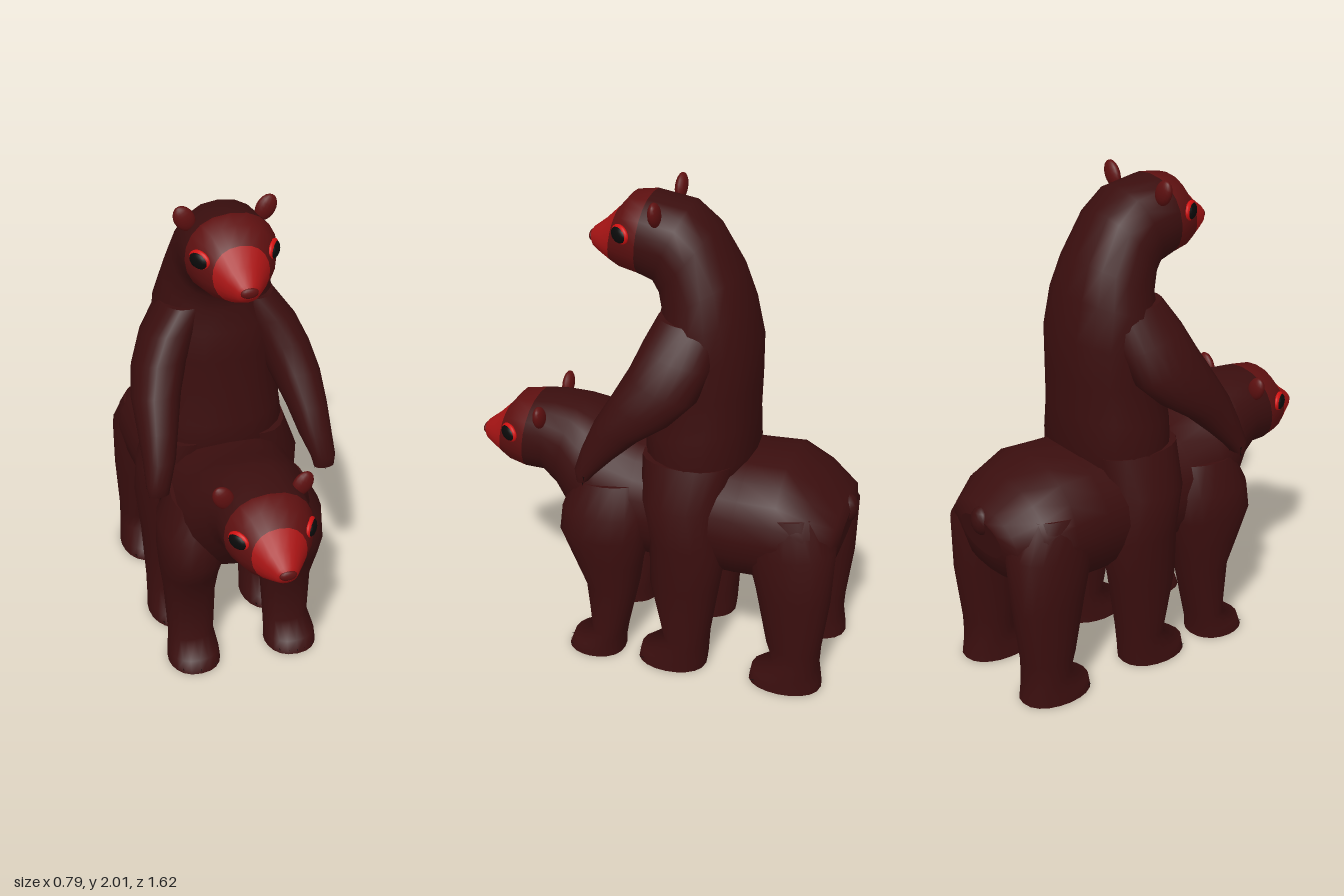
import * as THREE from 'three';

const mat = (color, rough = 0.9) => new THREE.MeshStandardMaterial({ color });
const FUR = mat(0x3a0e0e), FACE = mat(0x5e1010), MUZZLE = mat(0xa81414);
const EYE = mat(0x0a0a0a), RIM = mat(0xd01010), CLAW = mat(0x1c0808);
const SIDES = 20;

// Loft through oval sections [zTop, yTop, zBottom, yBottom, xCentre, halfWidth], closed at both ends.
function loft(sections, side = 1) {
  const pos = [], idx = [];
  const ring = ([z1, y1, z2, y2, x, w]) => {
    for (let j = 0; j < SIDES; j++) {
      const t = (j / SIDES) * Math.PI * 2, c = Math.cos(t), s = Math.sin(t);
      const cx = Math.sign(c) * Math.pow(Math.abs(c), 0.85);
      pos.push(x * side + w * cx, (y1 + y2) / 2 + s * (y1 - y2) / 2, (z1 + z2) / 2 + s * (z1 - z2) / 2);
    }
  };
  sections.forEach(ring);
  for (let i = 0; i < sections.length - 1; i++) {
    for (let j = 0; j < SIDES; j++) {
      const k = (j + 1) % SIDES, a = i * SIDES, b = a + SIDES;
      idx.push(a + j, a + k, b + k, a + j, b + k, b + j);
    }
  }
  for (const end of [0, sections.length - 1]) {
    const s = sections[end], start = pos.length / 3;
    ring(s);
    pos.push(s[4] * side, (s[1] + s[3]) / 2, (s[0] + s[2]) / 2);
    for (let j = 0; j < SIDES; j++) {
      const k = (j + 1) % SIDES;
      idx.push(start + SIDES, start + (end ? j : k), start + (end ? k : j));
    }
  }
  const g = new THREE.BufferGeometry();
  g.setAttribute('position', new THREE.Float32BufferAttribute(pos, 3));
  g.setIndex(idx);
  g.computeVertexNormals();
  return g;
}

function add(parent, name, geo, material, p = [0, 0, 0], scale = [1, 1, 1], rot = [0, 0, 0]) {
  const m = new THREE.Mesh(geo, material);
  m.name = name;
  m.position.set(...p);
  m.scale.set(...scale);
  m.rotation.set(...rot);
  parent.add(m);
  return m;
}

// Head sections, shared by both bears: [zTop, yTop, zBottom, yBottom, halfWidth]
const HEAD = [
  [0.55, 1.04, 0.58, 0.72, 0.182], [0.63, 1.03, 0.66, 0.73, 0.152], [0.68, 0.97, 0.71, 0.75, 0.112],
  [0.74, 0.91, 0.75, 0.77, 0.075], [0.79, 0.87, 0.785, 0.79, 0.045], [0.81, 0.84, 0.80, 0.81, 0.015],
];

// Torso and head are one smooth skin, sliced into colour zones
function addBody(bear, torso, dy, dz) {
  const sections = [...torso, ...HEAD.map(([z1, y1, z2, y2, w]) => [z1 + dz, y1 + dy, z2 + dz, y2 + dy, w])]
    .map(([z1, y1, z2, y2, w]) => [z1, y1, z2, y2, 0, w]);
  const whole = loft(sections), index = Array.from(whole.index.array);
  const band = SIDES * 6, n = torso.length, caps = (sections.length - 1) * band, capSize = SIDES * 3;
  const zone = (name, from, to, material, cap) => {
    const g = whole.clone();
    const part = index.slice(from * band, to * band);
    g.setIndex(part.concat(cap === undefined ? [] : index.slice(caps + cap * capSize, caps + (cap + 1) * capSize)));
    add(bear, name, g, material);
  };
  zone('torso', 0, n, FUR, 0);
  zone('face', n, n + 2, FACE);
  zone('muzzle', n + 2, n + 5, MUZZLE, 1);

  const ball = new THREE.SphereGeometry(1, 16, 10);
  add(bear, 'nose', ball, FACE, [0, 0.835 + dy, 0.797 + dz], [0.035, 0.022, 0.014]);
  for (const s of [-1, 1]) {
    add(bear, 'ear', ball, FACE, [s * 0.16, 1.012 + dy, 0.49 + dz], [0.04, 0.056, 0.024], [0, 0, -s * 0.5]);
    const turn = [0, s * 0.98, 0];
    add(bear, 'eyeRim', ball, RIM, [s * 0.143, 0.91 + dy, 0.634 + dz], [0.05, 0.04, 0.018], turn);
    add(bear, 'eye', ball, EYE, [s * 0.146, 0.91 + dy, 0.636 + dz], [0.044, 0.034, 0.021], turn);
  }
}

// Row of claws across a paw
function addClaws(bear, x, y, z, spread, pitch) {
  const cone = new THREE.ConeGeometry(0.012, 0.05, 6);
  for (let i = -2; i <= 2; i++) {
    add(bear, 'claw', cone, CLAW, [x + i * spread, y, z - Math.abs(i) * 0.012], [1, 1, 1], [pitch, 0, 0]);
  }
}

// Mirrored pair of limbs; feet get claws pointing forward
function addLimbs(bear, name, sections) {
  for (const s of [-1, 1]) {
    add(bear, name, loft(sections, s), FUR);
    const [z, y, , , x] = sections[sections.length - 1];
    if (name === 'arm') addClaws(bear, s * x, y + 0.012, z - 0.01, 0.018, Math.PI * 0.95);
    else addClaws(bear, s * x, y + 0.018, z - 0.02, 0.035, Math.PI * 0.55);
  }
}

export function createModel() {
  const model = new THREE.Group();
  model.name = 'twoBears';

  // Bear on all fours
  const walking = new THREE.Group();
  walking.name = 'walkingBear';
  addBody(walking, [
    [-0.79, 0.76, -0.765, 0.60, 0.14], [-0.77, 0.81, -0.74, 0.52, 0.23], [-0.66, 0.89, -0.66, 0.46, 0.30],
    [-0.54, 0.955, -0.54, 0.43, 0.32], [-0.39, 0.95, -0.35, 0.42, 0.31], [-0.15, 0.95, -0.12, 0.42, 0.29],
    [0.07, 0.95, 0.05, 0.43, 0.285], [0.22, 1.0, 0.22, 0.45, 0.28], [0.30, 1.03, 0.36, 0.56, 0.25],
    [0.36, 1.045, 0.44, 0.67, 0.21], [0.46, 1.05, 0.50, 0.72, 0.187],
  ], 0, 0);
  add(walking, 'tail', new THREE.SphereGeometry(1, 12, 8), FUR, [0, 0.745, -0.772], [0.05, 0.06, 0.04]);
  addLimbs(walking, 'frontLeg', [
    [0.33, 0.80, 0.02, 0.82, 0.16, 0.12], [0.37, 0.68, -0.01, 0.70, 0.2, 0.14], [0.38, 0.57, 0, 0.58, 0.21, 0.135],
    [0.33, 0.47, 0.03, 0.45, 0.215, 0.12], [0.27, 0.33, 0.05, 0.33, 0.21, 0.107], [0.245, 0.10, 0.10, 0.11, 0.21, 0.097],
    [0.33, 0.055, 0.11, 0.04, 0.213, 0.107], [0.35, 0, 0.11, 0, 0.213, 0.11],
  ]);
  addLimbs(walking, 'hindLeg', [
    [-0.38, 0.80, -0.70, 0.80, 0.16, 0.13], [-0.41, 0.62, -0.775, 0.66, 0.195, 0.135], [-0.46, 0.45, -0.765, 0.42, 0.21, 0.115],
    [-0.51, 0.20, -0.735, 0.18, 0.21, 0.1], [-0.54, 0.11, -0.73, 0.10, 0.21, 0.1],
    [-0.45, 0.055, -0.74, 0.04, 0.21, 0.107], [-0.44, 0, -0.745, 0, 0.21, 0.11],
  ]);

  // Bear standing upright, astride the other
  const standing = new THREE.Group();
  standing.name = 'standingBear';
  addBody(standing, [
    [-0.25, 0.62, -0.06, 0.62, 0.2], [-0.35, 0.80, 0.03, 0.78, 0.26], [-0.39, 0.96, 0.06, 0.93, 0.28],
    [-0.385, 1.10, 0.06, 1.03, 0.265], [-0.39, 1.25, 0.03, 1.20, 0.25], [-0.39, 1.42, 0.04, 1.32, 0.255],
    [-0.355, 1.58, 0.02, 1.44, 0.245], [-0.31, 1.71, 0, 1.54, 0.21], [-0.21, 1.88, 0.01, 1.60, 0.187],
    [-0.11, 1.96, 0.03, 1.64, 0.18],
  ], 0.943, -0.498);
  addLimbs(standing, 'arm', [
    [-0.02, 1.55, -0.28, 1.53, 0.14, 0.09], [0.02, 1.46, -0.26, 1.38, 0.205, 0.11], [0.06, 1.36, -0.21, 1.25, 0.255, 0.108],
    [0.12, 1.25, -0.12, 1.16, 0.29, 0.098], [0.19, 1.13, 0, 1.08, 0.31, 0.08], [0.235, 1.02, 0.10, 0.99, 0.325, 0.065],
    [0.26, 0.93, 0.17, 0.92, 0.343, 0.05], [0.25, 0.88, 0.2, 0.885, 0.345, 0.042],
  ]);
  addLimbs(standing, 'leg', [
    [0.04, 0.95, -0.34, 0.95, 0.15, 0.13], [0.03, 0.78, -0.31, 0.78, 0.19, 0.15], [-0.01, 0.60, -0.33, 0.60, 0.21, 0.135],
    [-0.01, 0.39, -0.30, 0.40, 0.21, 0.115], [-0.07, 0.12, -0.26, 0.15, 0.21, 0.1],
    [0.03, 0.055, -0.255, 0.04, 0.21, 0.107], [0.04, 0, -0.25, 0, 0.21, 0.11],
  ]);

  model.add(walking, standing);
  return model;
}
